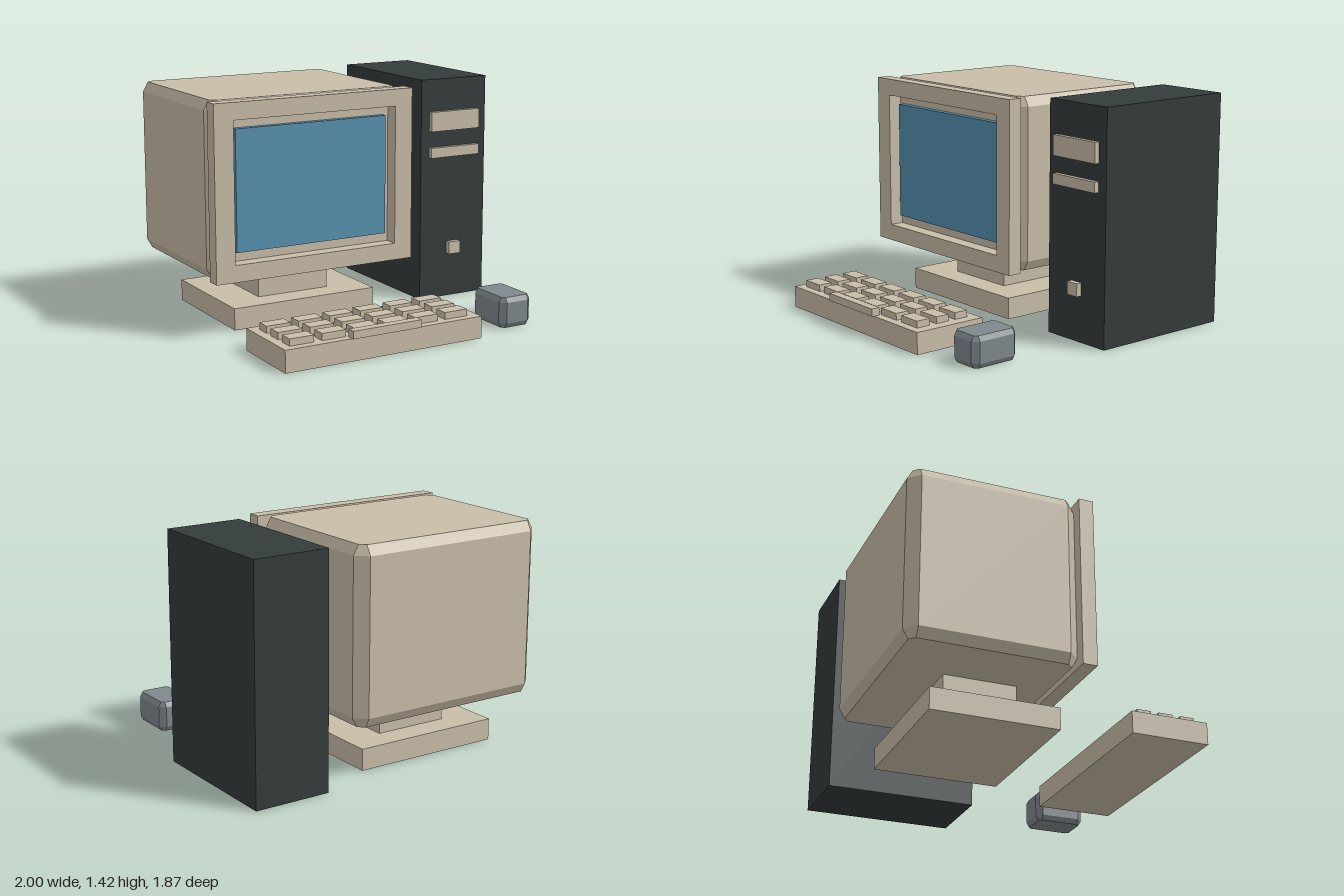
import * as THREE from 'three';
import { ConvexGeometry } from 'three/addons/geometries/ConvexGeometry.js';

const material = (name, color) => {
  const m = new THREE.MeshStandardMaterial({ color });
  m.name = name;
  return m;
};

// Box with chamfered edges: four stacked octagons, the outer two inset.
function chamferBox(w, h, d, corner, inset, rise) {
  const points = [];
  const ring = (y, hw, hd, c) => {
    for (const sx of [-1, 1]) for (const sz of [-1, 1]) {
      points.push(new THREE.Vector3(sx * hw, y, sz * (hd - c)));
      points.push(new THREE.Vector3(sx * (hw - c), y, sz * hd));
    }
  };
  for (const s of [-1, 1]) {
    ring(s * h / 2, w / 2 - inset, d / 2 - inset, corner - inset);
    ring(s * (h / 2 - rise), w / 2, d / 2, corner);
  }
  return new ConvexGeometry(points);
}

export function createModel() {
  const beige = material('beige plastic', 0xc8bda8);
  const dark = material('dark case', 0x343b3b);
  const blue = material('blue glass', 0x5791b0);
  const grey = material('grey plastic', 0x7f888d);

  const model = new THREE.Group();
  model.name = 'desktopComputer';

  const group = (name) => {
    const g = new THREE.Group();
    g.name = name;
    model.add(g);
    return g;
  };
  const add = (parent, name, geometry, mat, x = 0, y = 0, z = 0) => {
    const mesh = new THREE.Mesh(geometry, mat);
    mesh.name = name;
    mesh.position.set(x, y, z);
    parent.add(mesh);
    return mesh;
  };
  // Box given by its limits on each axis
  const box = (parent, name, mat, [x0, x1], [y0, y1], [z0, z1]) =>
    add(parent, name, new THREE.BoxGeometry(x1 - x0, y1 - y0, z1 - z0), mat,
      (x0 + x1) / 2, (y0 + y1) / 2, (z0 + z1) / 2);

  // Monitor
  const monitor = group('monitor');
  box(monitor, 'monitorBase', beige, [-0.815, 0.155], [0, 0.135], [-0.735, 0.045]);
  box(monitor, 'monitorNeck', beige, [-0.57, -0.09], [0.135, 0.345], [-0.57, -0.12]);
  add(monitor, 'monitorBody', chamferBox(1.315, 1.07, 1.04, 0.068, 0.034, 0.06),
    beige, -0.332, 0.875, -0.415);

  // Bezel with a rectangular opening
  const rect = (path, x0, y0, x1, y1) => {
    path.moveTo(x0, y0);
    path.lineTo(x1, y0);
    path.lineTo(x1, y1);
    path.lineTo(x0, y1);
    path.closePath();
    return path;
  };
  const frame = rect(new THREE.Shape(), -1, 0.34, 0.34, 1.41);
  frame.holes.push(rect(new THREE.Path(), -0.875, 0.445, 0.22, 1.305));
  add(monitor, 'bezel',
    new THREE.ExtrudeGeometry(frame, { depth: 0.09, bevelEnabled: false }), beige, 0, 0, 0.105);
  box(monitor, 'screen', blue, [-0.84, 0.18], [0.505, 1.245], [0.1, 0.145]);

  // Tower case with drives and power button
  const tower = group('tower');
  box(tower, 'towerCase', dark, [0.515, 1], [0, 1.425], [-0.905, 0.03]);
  box(tower, 'upperDrive', beige, [0.575, 0.935], [1.095, 1.22], [0.03, 0.06]);
  box(tower, 'lowerDrive', beige, [0.575, 0.935], [0.925, 0.99], [0.03, 0.06]);
  box(tower, 'powerButton', beige, [0.715, 0.8], [0.285, 0.365], [0.03, 0.065]);

  // Keyboard with three rows of six keys and a space bar
  const keyboard = group('keyboard');
  box(keyboard, 'keyboardTray', beige, [-0.93, 0.38], [0, 0.135], [0.435, 0.915]);
  for (let row = 0; row < 3; row++) {
    for (let col = 0; col < 6; col++) {
      const x = -0.875 + col * 0.206;
      const z = 0.495 + row * 0.139;
      box(keyboard, 'key', beige, [x, x + 0.155], [0.13, 0.177], [z, z + 0.09]);
    }
  }
  box(keyboard, 'spaceBar', beige, [-0.505, -0.05], [0.135, 0.182], [0.875, 0.93]);

  // Mouse
  add(group('mouse'), 'mouseBody', chamferBox(0.225, 0.19, 0.32, 0.036, 0.018, 0.03),
    grey, 0.7, 0.095, 0.675);

  return model;
}
